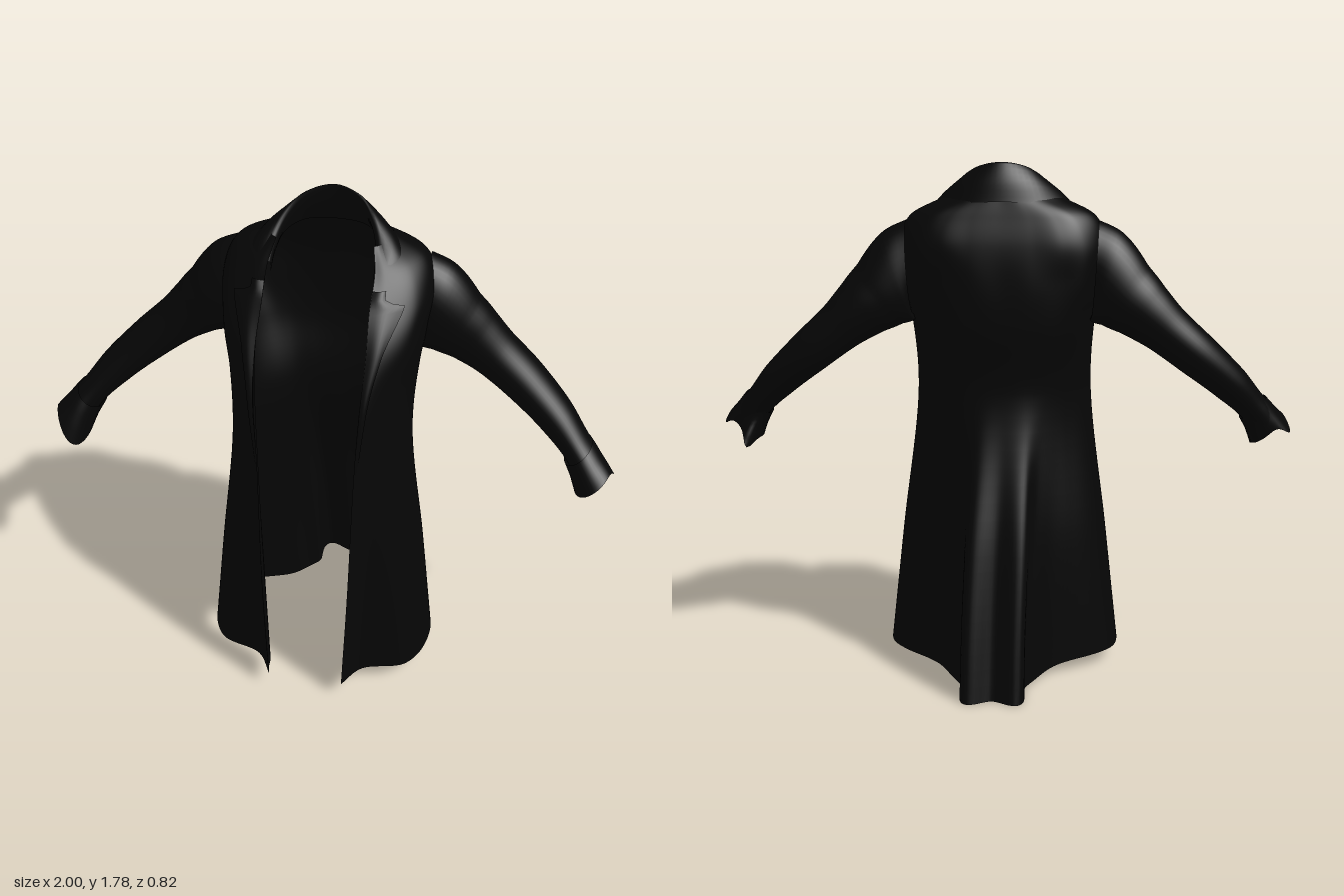
import * as THREE from 'three';

const cloth = new THREE.MeshStandardMaterial({ color: 0x060606, side: THREE.DoubleSide });
cloth.name = 'black cloth';

// Smooth sheet from a rule f(i, j) -> Vector3; wrap closes the rows into a tube
function sheet(name, rows, cols, f, flip = false, wrap = false) {
  const pos = [], index = [];
  const n = wrap ? cols : cols + 1;
  for (let i = 0; i <= rows; i++)
    for (let j = 0; j < n; j++) pos.push(...f(i, j).toArray());
  for (let i = 0; i < rows; i++)
    for (let j = 0; j < cols; j++) {
      const a = i * n + j, b = i * n + (j + 1) % n, c = a + n, d = b + n;
      if (flip) index.push(b, a, d, d, a, c);
      else index.push(a, b, d, a, d, c);
    }
  const geo = new THREE.BufferGeometry();
  geo.setAttribute('position', new THREE.Float32BufferAttribute(pos, 3));
  geo.setIndex(index);
  geo.computeVertexNormals();
  const mesh = new THREE.Mesh(geo, cloth);
  mesh.name = name;
  return mesh;
}

const V = (x, y, z) => new THREE.Vector3(x, y, z);
const spline = points => new THREE.CatmullRomCurve3(points);
const smooth = THREE.MathUtils.smoothstep;

// Half sections of the coat, from front edge (first) to middle of the back (last): x, z
const heights = [0, 0.5, 1.0, 1.25, 1.4, 1.52, 1.61, 1.67];
const hem = [0.075, 0.075, 0.072, 0.07, 0.06, 0.045, 0.015, 0.005, 0.005];
const sections = [
  [.135, .41, .195, .32, .345, .262, .405, .15, .40, -.02, .26, -.13, .115, -.26, .105, -.39, 0, -.40],
  [.15, .395, .20, .32, .31, .25, .36, .13, .35, -.02, .24, -.13, .125, -.205, .10, -.29, 0, -.295],
  [.16, .36, .21, .31, .275, .22, .305, .1, .29, -.02, .22, -.1, .15, -.145, .08, -.165, 0, -.17],
  [.17, .335, .21, .30, .28, .2, .31, .08, .305, -.06, .25, -.15, .18, -.19, .09, -.21, 0, -.215],
  [.175, .27, .22, .25, .30, .17, .33, .05, .33, -.09, .28, -.17, .2, -.2, .1, -.22, 0, -.22],
  [.17, .19, .22, .165, .305, .10, .345, 0, .34, -.1, .28, -.175, .2, -.205, .1, -.21, 0, -.21],
  [.17, .10, .20, .09, .27, .04, .31, -.03, .305, -.10, .24, -.16, .17, -.18, .09, -.185, 0, -.185],
  [.155, .04, .17, .03, .195, -.02, .205, -.06, .185, -.10, .14, -.135, .1, -.155, .05, -.165, 0, -.165],
];
const columns = hem.map((low, k) => spline(
  sections.map((s, r) => V(s[2 * k], r ? heights[r] : low, s[2 * k + 1]))));

// Full row across the coat at t (0 hem, 1 neck), left front edge to right front edge
const mirrored = half => [...half, ...half.slice(0, -1).reverse().map(p => V(-p.x, p.y, p.z))];
const row = t => spline(mirrored(columns.map(c => c.getPoint(t))));

function coatBody() {
  const R = 64, C = 160;
  const rows = Array.from({ length: R + 1 }, (_, i) => row(i / R));
  return sheet('coatBody', R, C, (i, j) => {
    const s = j / C, p = rows[i].getPoint(s);
    // Pleats fan out over the back of the skirt, which hangs a little to one side
    const back = smooth(1 - Math.abs(2 * s - 1), 0.5, 0.72) * (1 - smooth(p.y, 0.05, 0.95));
    p.addScaledVector(V(p.x, 0, p.z - 0.05).normalize(), -0.014 * back * Math.cos((s - 0.5) * 72));
    p.x += 0.02 * back;
    return p;
  }, true);
}

// Lapel lying over the front edge, widest at the notch
function lapel(name, side) {
  const R = 30, C = 8;
  return sheet(name, R, C, (i, j) => {
    const k = i / R, across = j / C;
    const width = 0.012 + 0.105 * Math.pow(k, 1.3) * (1 - 0.55 * smooth(k, 0.86, 0.93));
    const p = row(0.29 + 0.5 * k).getPoint(width * across);
    const lift = smooth(k, -0.1, 0.3) * (0.003 + 0.009 * Math.sin(Math.PI * 0.75 * across));
    return V(side * (p.x + lift * 0.4), p.y + lift * 0.3, p.z + lift);
  }, side < 0);
}

// Facing turned back inside the front edge
function facing(name, side) {
  const R = 32, C = 6;
  return sheet(name, R, C, (i, j) => {
    const p = row(0.78 * i / R).getPoint(0.085 * j / C);
    const depth = 0.028 * smooth(j / C, 0, 0.5);
    return V(side * (p.x - depth * 0.7), p.y, p.z - depth);
  }, side > 0);
}

// Folded collar: outer edge, fall, crest, then the stand inside the neck
function collar() {
  const lines = [
    [V(.235, 1.59, .085), V(.25, 1.625, .02), V(.22, 1.65, -.07), V(.135, 1.655, -.15), V(0, 1.66, -.178)],
    [V(.20, 1.61, .09), V(.21, 1.66, .02), V(.175, 1.705, -.06), V(.11, 1.725, -.13), V(0, 1.73, -.16)],
    [V(.172, 1.61, .09), V(.168, 1.67, .02), V(.135, 1.73, -.045), V(.085, 1.77, -.10), V(0, 1.787, -.13)],
    [V(.165, 1.60, .085), V(.158, 1.65, .02), V(.13, 1.70, -.05), V(.085, 1.73, -.105), V(0, 1.735, -.135)],
    [V(.165, 1.57, .09), V(.165, 1.61, .02), V(.15, 1.64, -.07), V(.1, 1.65, -.14), V(0, 1.65, -.165)],
  ].map(half => spline(mirrored(half)));
  return sheet('collar', 16, 48, (i, j) => spline(lines.map(l => l.getPoint(j / 48))).getPoint(i / 16));
}

// Sleeve stations: centre x, y, z, radius across, radius in depth, tilt of the section
const sleeveStations = [
  [.312, 1.44, -.085, .158, .105, .06],
  [.352, 1.408, -.09, .155, .112, .36],
  [.41, 1.352, -.10, .126, .108, .6],
  [.47, 1.305, -.11, .106, .10, .66],
  [.55, 1.24, -.112, .086, .092, .66],
  [.66, 1.15, -.10, .076, .092, .64],
  [.78, 1.045, -.06, .064, .085, .68],
  [.87, .95, -.01, .053, .078, .74],
  [.91, .90, .015, .056, .08, .74],
];
const cuffStations = [
  [.865, .955, -.005, .058, .08, .74],
  [.895, .915, .015, .064, .086, .74],
  [.925, .872, .035, .076, .092, .72],
];
// Pointed cuff corners: angle round the wrist, sharpness, pull in x, y, z
const cuffTips = {
  left: [[-0.4, 8, .02, -.045, 0], [4.1, 14, 0, -.03, -.075]],
  right: [[-0.5, 8, .025, -.05, -.01], [1.8, 2, 0, -.05, .01]],
};
function tube(name, stations, rows, side, tips = []) {
  const centre = spline(stations.map(s => V(s[0], s[1], s[2])));
  const shape = spline(stations.map(s => V(s[3], s[4], s[5])));
  return sheet(name, rows, 40, (i, j) => {
    const t = i / rows, a = j / 40 * Math.PI * 2;
    const p = centre.getPoint(t), s = shape.getPoint(t);
    const up = s.x * Math.cos(a);
    p.add(V(up * s.z, up * Math.sqrt(1 - s.z * s.z), s.y * Math.sin(a)));
    for (const [angle, power, x, y, z] of tips)
      p.addScaledVector(V(x, y, z), t * t * Math.pow(Math.max(0, Math.cos(a - angle)), power));
    p.x *= side;
    return p;
  }, side > 0, true);
}

export function createModel() {
  const coat = new THREE.Group();
  coat.name = 'longCoat';
  coat.add(coatBody(), collar());
  for (const [tag, side] of [['left', 1], ['right', -1]])
    coat.add(
      lapel(tag + 'Lapel', side),
      facing(tag + 'Facing', side),
      tube(tag + 'Sleeve', sleeveStations, 44, side),
      tube(tag + 'Cuff', cuffStations, 8, side, cuffTips[tag]));
  return coat;
}
